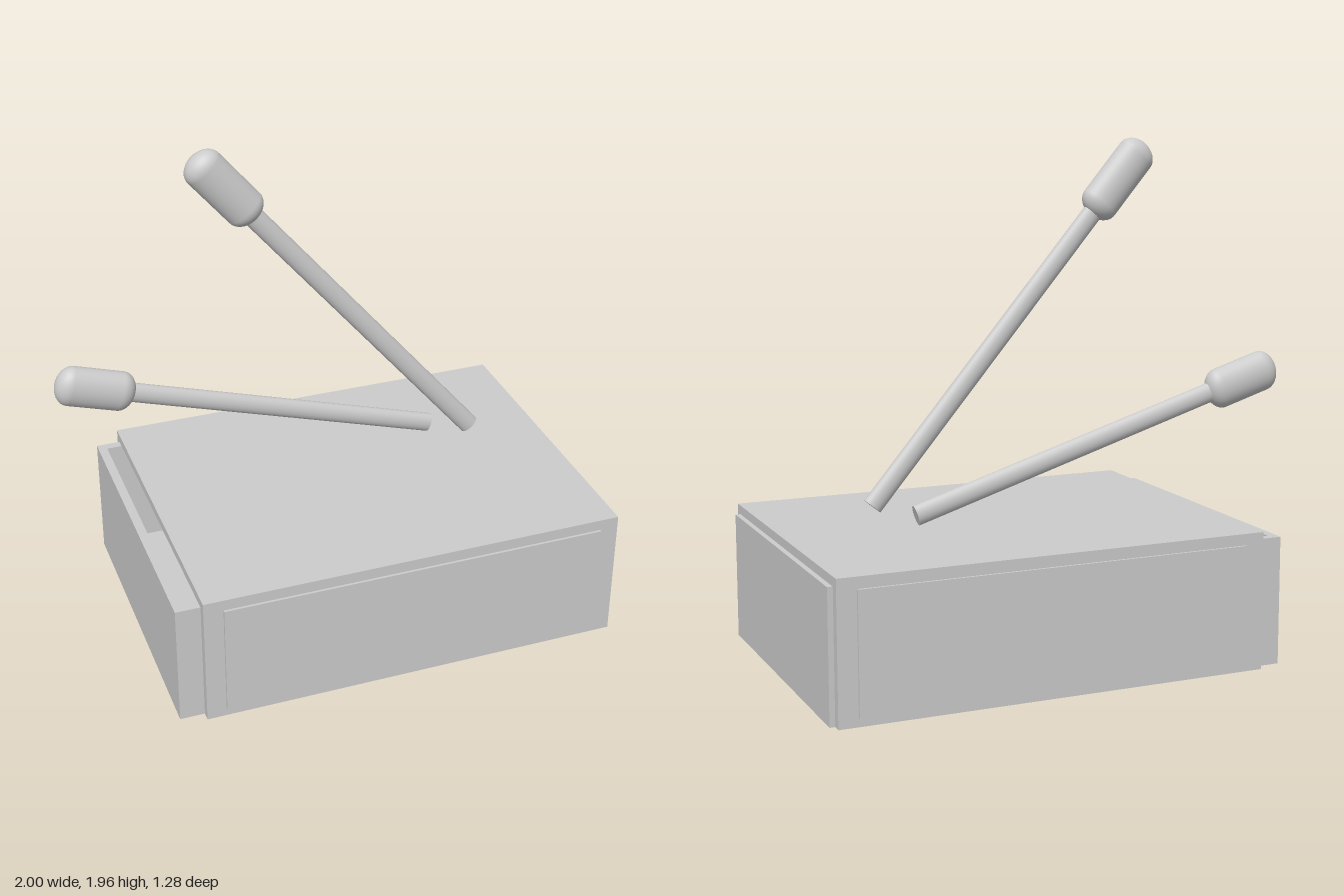
import * as THREE from 'three';

const material = new THREE.MeshStandardMaterial({ color: 0xcccccc, side: THREE.DoubleSide });

function addMesh(parent, name, geometry, x = 0, y = 0, z = 0) {
  const mesh = new THREE.Mesh(geometry, material);
  mesh.name = name;
  mesh.position.set(x, y, z);
  parent.add(mesh);
  return mesh;
}

// Box given by its lower and upper corners
function addBox(parent, name, [x0, y0, z0], [x1, y1, z1]) {
  return addMesh(parent, name, new THREE.BoxGeometry(x1 - x0, y1 - y0, z1 - z0),
    (x0 + x1) / 2, (y0 + y1) / 2, (z0 + z1) / 2);
}

// Sliding sleeve: a U-shaped wrap extruded along x
function createSleeve() {
  const sleeve = new THREE.Group();
  sleeve.name = 'sleeve';
  const outline = [[-0.63, 0], [-0.63, 0.525], [0.63, 0.525], [0.63, 0],
    [0.595, 0], [0.595, 0.49], [-0.595, 0.49], [-0.595, 0]];
  const shape = new THREE.Shape(outline.map(([z, y]) => new THREE.Vector2(z, y)));
  const wrap = new THREE.ExtrudeGeometry(shape, { depth: 1.65, bevelEnabled: false });
  wrap.rotateY(-Math.PI / 2);
  addMesh(sleeve, 'sleeveWrap', wrap, 0.98);

  // Striking strips on both long sides
  for (const side of [-1, 1]) {
    const strip = addBox(sleeve, side > 0 ? 'frontStrikingStrip' : 'backStrikingStrip',
      [-0.595, 0.032, 0.625], [0.907, 0.482, 0.64]);
    strip.position.z *= side;
  }
  return sleeve;
}

// Open tray, pushed slightly out at the right end
function createTray() {
  const tray = new THREE.Group();
  tray.name = 'tray';
  const t = 0.035;
  addBox(tray, 'trayFloor', [-0.765, 0, -0.595], [1, t, 0.595]);
  addBox(tray, 'rightEndWall', [-0.765, t, -0.595], [-0.765 + t, 0.49, 0.595]);
  addBox(tray, 'leftEndWall', [1 - t, t, -0.595], [1, 0.49, 0.595]);
  addBox(tray, 'backWall', [-0.765 + t, t, -0.595], [1 - t, 0.49, -0.595 + t]);
  addBox(tray, 'frontWall', [-0.765 + t, t, 0.595 - t], [1 - t, 0.49, 0.595]);
  return tray;
}

// Flattened matchstick running from its foot to the centre of its head
function createMatch(name, foot, head, z, halfLength, radius) {
  const match = new THREE.Group();
  match.name = name;
  const dx = head[0] - foot[0], dy = head[1] - foot[1];
  const length = Math.hypot(dx, dy);

  const stick = new THREE.CylinderGeometry(0.039, 0.039, length, 20);
  stick.scale(1, 1, 0.67);
  addMesh(match, 'stick', stick, 0, length / 2);

  // Capsule head with slightly flattened caps
  const cap = 0.06, steps = 10, profile = [];
  for (const end of [-1, 1]) {
    for (let i = 0; i <= steps; i++) {
      const a = (end < 0 ? i - steps : i) / steps * Math.PI / 2;
      profile.push(new THREE.Vector2(Math.max(0, radius * Math.cos(a)), end * halfLength + cap * Math.sin(a)));
    }
  }
  const tip = new THREE.LatheGeometry(profile, 32);
  tip.scale(1, 1, 0.055 / radius);
  addMesh(match, 'matchHead', tip, 0, length);

  match.position.set(foot[0], foot[1], z);
  match.rotation.z = Math.atan2(-dx, dy);
  return match;
}

export function createModel() {
  const model = new THREE.Group();
  model.name = 'matchbox';
  model.add(
    createSleeve(),
    createTray(),
    createMatch('steepMatch', [0.65, 0.622], [-0.35, 1.805], -0.045, 0.115, 0.077),
    createMatch('shallowMatch', [0.518, 0.597], [-0.843, 1.02], -0.152, 0.097, 0.08),
  );
  return model;
}
